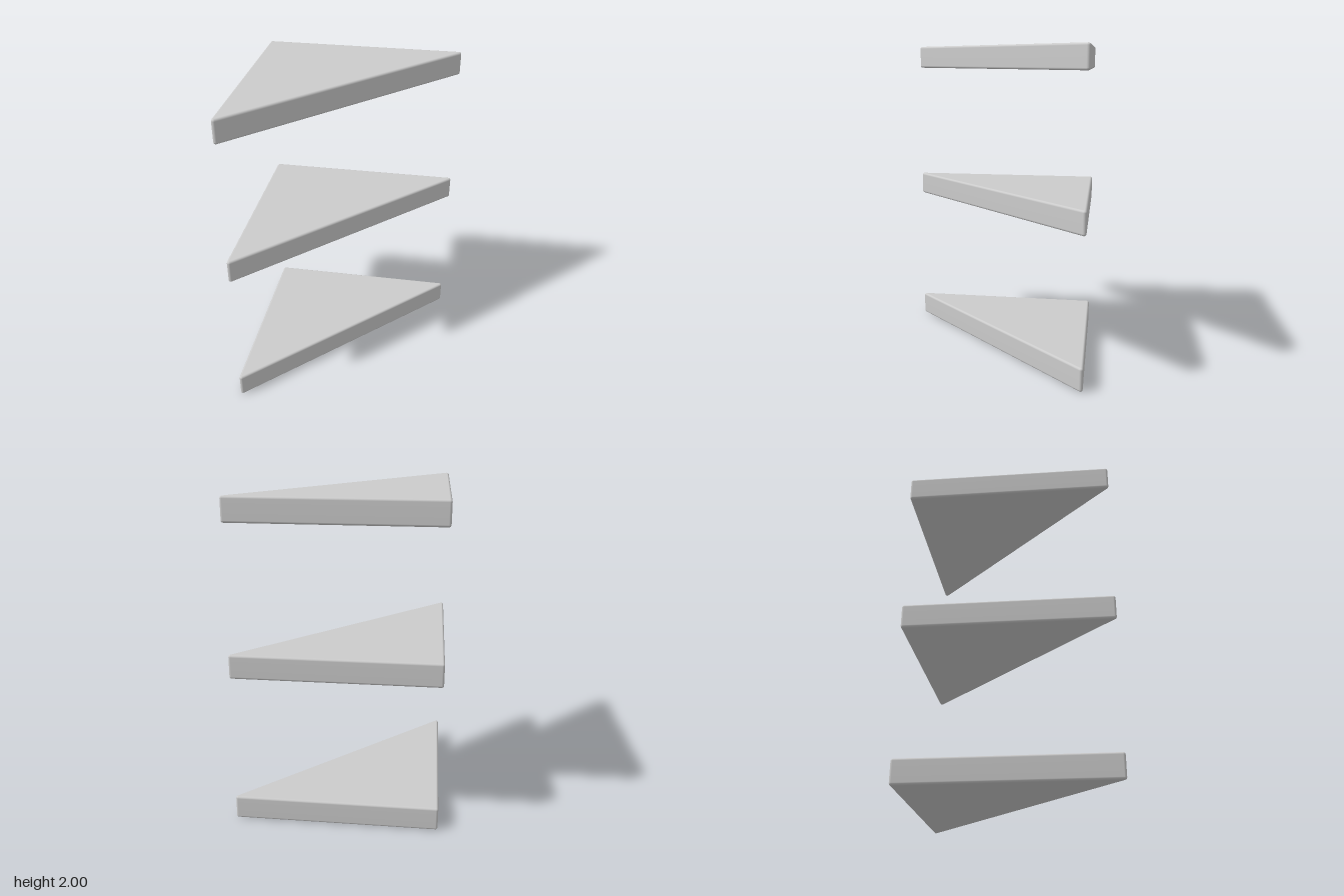
import * as THREE from 'three';

const HALF = 0.625;      // half the length of the two straight sides
const THICK = 0.148;     // board thickness
const R = 0.014;         // edge rounding
const BEVEL = R - 0.0002;

// Right-angled board with softly rounded edges, centred on y = 0
function boardGeometry() {
  const c = HALF - R;
  const shape = new THREE.Shape();
  shape.absarc(-c, -c, R, Math.PI, Math.PI * 1.5);
  shape.absarc(c, -c, R, -Math.PI / 2, Math.PI / 4);
  shape.absarc(-c, c, R, Math.PI / 4, Math.PI);

  const geo = new THREE.ExtrudeGeometry(shape, {
    depth: THICK - 2 * BEVEL, curveSegments: 8, bevelSegments: 4,
    bevelThickness: BEVEL, bevelSize: BEVEL, bevelOffset: -BEVEL,
  });
  geo.rotateX(Math.PI / 2);
  geo.translate(0, THICK / 2 - BEVEL, 0);

  // Smooth normals: point away from the sharp core inside the rounding
  const core = new THREE.Triangle(
    new THREE.Vector3(-c, 0, -c), new THREE.Vector3(-c, 0, c), new THREE.Vector3(c, 0, -c));
  const { position, normal } = geo.attributes;
  const p = new THREE.Vector3(), flat = new THREE.Vector3(), q = new THREE.Vector3();
  const h = THICK / 2 - R;
  for (let i = 0; i < position.count; i++) {
    p.fromBufferAttribute(position, i);
    core.closestPointToPoint(flat.set(p.x, 0, p.z), q);
    q.y = THREE.MathUtils.clamp(p.y, -h, h);
    p.sub(q).normalize();
    normal.setXYZ(i, p.x, p.y, p.z);
  }
  return geo;
}

export function createModel() {
  const group = new THREE.Group();
  group.name = 'cornerShelves';
  const material = new THREE.MeshStandardMaterial({ color: 0xcccccc });
  const geometry = boardGeometry();

  // Three boards stacked with gaps between them
  const levels = { lowerShelf: 0, middleShelf: 0.935, upperShelf: 2 - THICK };
  for (const [name, bottom] of Object.entries(levels)) {
    const shelf = new THREE.Mesh(geometry, material);
    shelf.name = name;
    shelf.position.y = bottom + THICK / 2;
    group.add(shelf);
  }
  return group;
}
